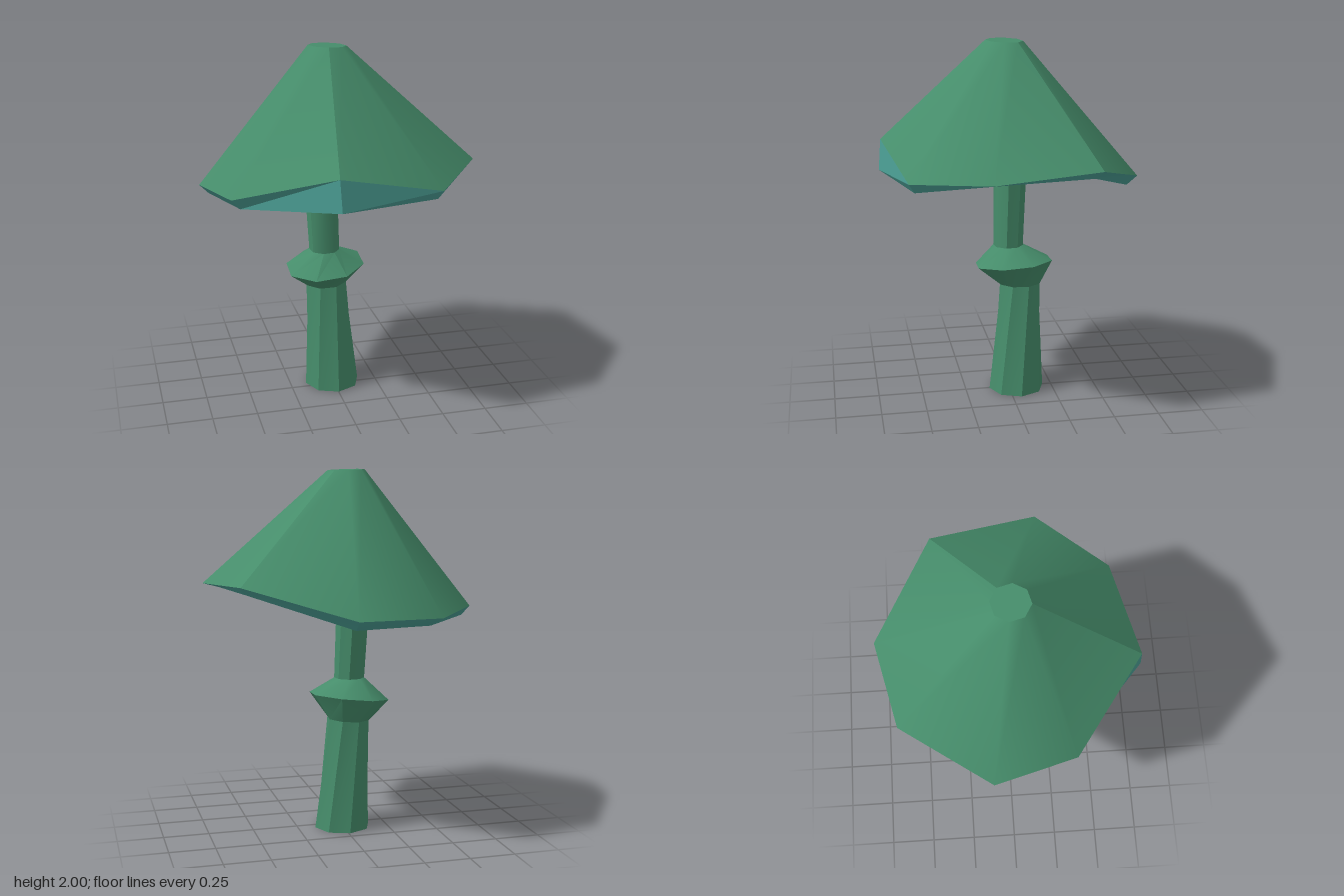
import * as THREE from 'three';
import { toCreasedNormals } from 'three/addons/utils/BufferGeometryUtils.js';

const SIDES = 8;
const rad = THREE.MathUtils.degToRad;

// Eight-sided ring, running back -> right -> front -> left, with optional tilt
function ring(cx, y, cz, r, turn, tiltX = 0, tiltZ = 0) {
  return Array.from({ length: SIDES }, (_, i) => {
    const a = rad(turn + i * 45);
    const dx = r * Math.sin(a), dz = -r * Math.cos(a);
    return [cx + dx, y + tiltX * dx + tiltZ * dz, cz + dz];
  });
}

// Skin over rings listed from low to high, from column "first" over "count" faces
function loft(rings, crease, first = 0, count = SIDES) {
  const pos = [];
  for (let k = 0; k < rings.length - 1; k++) {
    const low = rings[k], high = rings[k + 1];
    for (let n = 0; n < count; n++) {
      const i = (first + n) % SIDES, j = (i + 1) % SIDES;
      pos.push(...low[j], ...low[i], ...high[i], ...low[j], ...high[i], ...high[j]);
    }
  }
  return finish(pos, crease);
}

// Flat lid on a ring, facing up
function lid(points) {
  const pos = [];
  for (let i = 1; i < SIDES - 1; i++) pos.push(...points[0], ...points[i + 1], ...points[i]);
  return finish(pos, 30);
}

function finish(pos, crease) {
  const geo = new THREE.BufferGeometry();
  geo.setAttribute('position', new THREE.Float32BufferAttribute(pos, 3));
  return toCreasedNormals(geo, rad(crease));
}

export function createModel() {
  const model = new THREE.Group();
  model.name = 'mushroom';

  const make = (name, color) => {
    const m = new THREE.MeshStandardMaterial({ color, side: THREE.DoubleSide });
    m.name = name;
    return m;
  };
  const green = make('green', 0x468d6b);
  const teal = make('teal', 0x4b9e94);
  const ochre = make('ochre', 0xcba41f);

  const add = (name, geo, mat, parent = model) => {
    const mesh = new THREE.Mesh(geo, mat);
    mesh.name = name;
    parent.add(mesh);
  };

  // Stem: open foot, flared collar, slim neck leaning into the cap
  const collarLow = ring(-0.03, 0.625, -0.07, 0.118, -16, 0.06);
  const neckLow = ring(-0.055, 0.845, -0.007, 0.084, -30);
  const neckTop = ring(-0.082, 1.52, -0.03, 0.095, -33);
  add('foot', loft([ring(-0.003, 0, -0.045, 0.157, -2), collarLow], 30), green);
  add('collar', loft([collarLow, ring(-0.045, 0.745, -0.037, 0.224, -20, 0.11, -0.07), neckLow], 42), green);
  // Neck is rounded at the front (columns 3 to 6) and faceted elsewhere
  add('neckFront', loft([neckLow, neckTop], 70, 3, 3), green);
  add('neckBack', loft([neckLow, neckTop], 30, 6, 5), green);

  // Cap rings: lower lip edge, upper rim, crown
  const lip = [
    [-0.345, 1.195, -0.53], [0.09, 1.20, -0.65], [0.59, 1.36, -0.34], [0.645, 1.355, 0.155],
    [0.41, 1.28, 0.555], [-0.13, 1.29, 0.703], [-0.57, 1.22, 0.30], [-0.68, 1.19, -0.11],
  ];
  const rim = [
    [-0.39, 1.24, -0.60], [0.09, 1.25, -0.71], [0.62, 1.40, -0.38], [0.73, 1.375, 0.20],
    [0.43, 1.33, 0.585], [-0.14, 1.46, 0.69], [-0.62, 1.28, 0.33], [-0.73, 1.24, -0.11],
  ];
  const crown = ring(-0.042, 1.995, 0.016, 0.102, -37, -0.04, 0.03);

  // Cap skin is smooth on each side of two sharp ridges (columns 2 and 5)
  const cap = new THREE.Group();
  cap.name = 'cap';
  model.add(cap);
  add('capRightSide', loft([rim, crown], 70, 2, 3), green, cap);
  add('capLeftSide', loft([rim, crown], 70, 5, 5), green, cap);
  add('crown', lid(crown), green, cap);
  add('lip', loft([lip, rim], 30), teal, cap);
  // Underside folds along columns 0 and 3
  add('undersideBack', loft([neckTop, lip], 70, 0, 3), ochre, cap);
  add('undersideFront', loft([neckTop, lip], 70, 3, 5), ochre, cap);

  return model;
}
